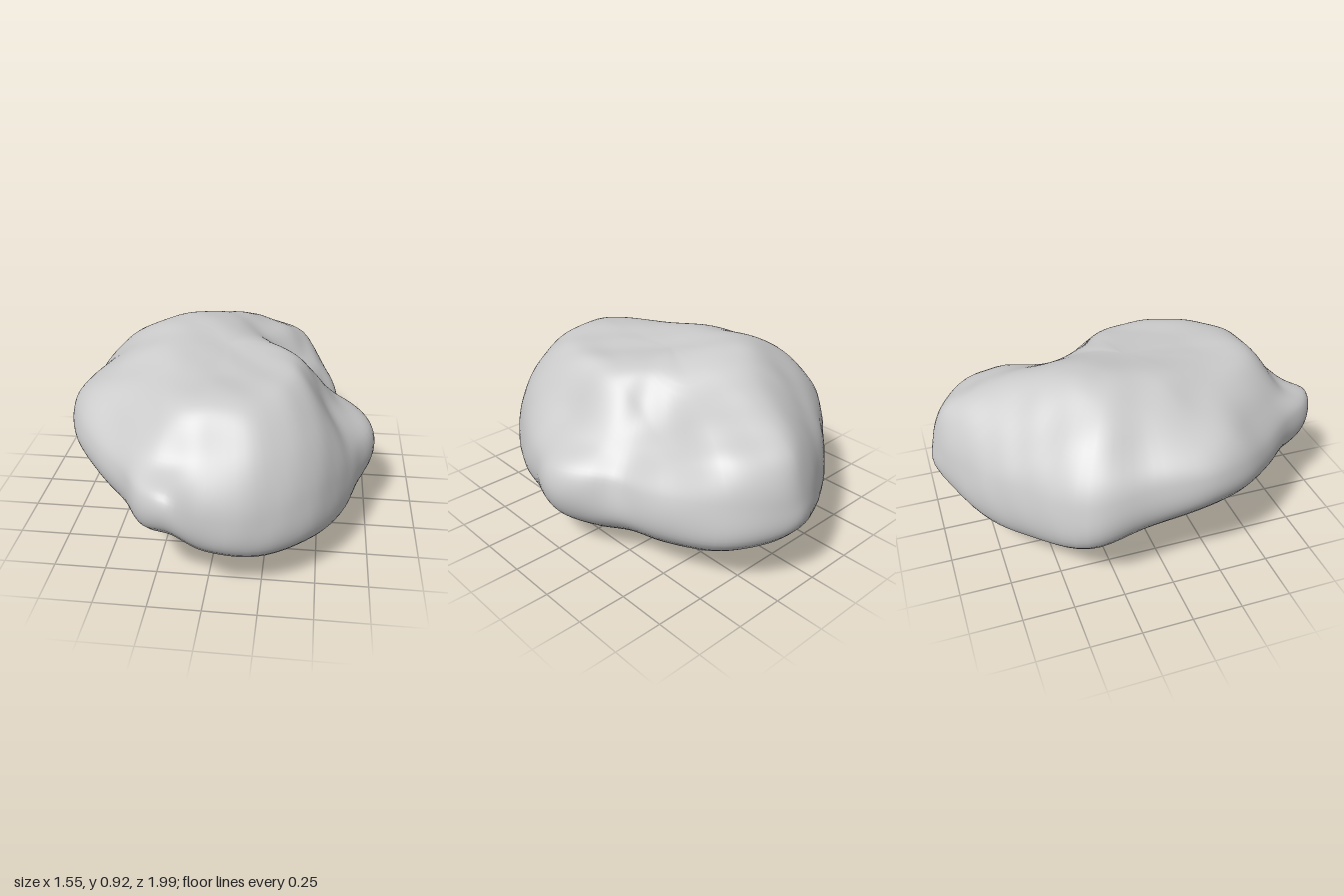
import * as THREE from 'three';

// Waist outline, running from +x towards +z: x, z, lower and upper edge of the side wall
const waist = [
  [0.74, 0, 0.23, 0.45], [0.69, 0.22, 0.22, 0.43], [0.62, 0.46, 0.2, 0.42], [0.48, 0.70, 0.22, 0.45],
  [0.25, 0.88, 0.23, 0.42], [0.0, 0.97, 0.31, 0.48], [-0.15, 0.995, 0.41, 0.56], [-0.28, 0.93, 0.38, 0.55],
  [-0.40, 0.76, 0.36, 0.55], [-0.57, 0.56, 0.42, 0.57], [-0.71, 0.36, 0.46, 0.6], [-0.77, 0.16, 0.47, 0.61],
  [-0.735, -0.12, 0.39, 0.58], [-0.715, -0.41, 0.31, 0.53], [-0.46, -0.65, 0.24, 0.52], [-0.24, -0.82, 0.23, 0.5],
  [0.1, -0.995, 0.33, 0.47], [0.25, -0.96, 0.31, 0.48], [0.43, -0.82, 0.28, 0.5], [0.55, -0.56, 0.26, 0.47],
  [0.61, -0.34, 0.25, 0.44], [0.70, -0.16, 0.24, 0.46],
];
// Shoulders in the same directions: top inset, top height, bottom inset, bottom height
const shoulders = [
  [0.5, 0.81, 0.65, 0.05], [0.54, 0.83, 0.65, 0.05], [0.6, 0.84, 0.68, 0.04], [0.65, 0.84, 0.65, 0.06],
  [0.69, 0.83, 0.6, 0.08], [0.66, 0.84, 0.55, 0.08], [0.64, 0.83, 0.5, 0.08], [0.64, 0.82, 0.5, 0.09],
  [0.65, 0.82, 0.5, 0.09], [0.62, 0.82, 0.5, 0.1], [0.62, 0.81, 0.5, 0.11], [0.62, 0.82, 0.5, 0.11],
  [0.62, 0.84, 0.52, 0.11], [0.6, 0.86, 0.52, 0.1], [0.55, 0.88, 0.53, 0.06], [0.58, 0.86, 0.57, 0.06],
  [0.7, 0.79, 0.57, 0.06], [0.75, 0.75, 0.55, 0.06], [0.78, 0.72, 0.55, 0.06], [0.68, 0.66, 0.6, 0.05],
  [0.58, 0.71, 0.62, 0.05], [0.52, 0.78, 0.65, 0.05],
];
// Brow between top shoulder and wall: inset, height
const brows = [
  [0.75, 0.59], [0.76, 0.63], [0.84, 0.66], [0.86, 0.68], [0.86, 0.68], [0.82, 0.66], [0.81, 0.64], [0.84, 0.64],
  [0.86, 0.67], [0.84, 0.7], [0.87, 0.71], [0.9, 0.69], [0.88, 0.7], [0.86, 0.7], [0.82, 0.72], [0.84, 0.69],
  [0.91, 0.67], [0.92, 0.65], [0.91, 0.64], [0.86, 0.58], [0.82, 0.55], [0.78, 0.57],
];

const v = (x, y, z) => new THREE.Vector3(x, y, z);
const ring = (f) => new THREE.CatmullRomCurve3(waist.map((w, i) => f(w, shoulders[i], brows[i])), true);
const bump = (x, y, z, p, r) => Math.exp(-((p.x - x) ** 2 + (p.y - y) ** 2 + (p.z - z) ** 2) / (r * r));

// Side knob, local hollows and a slight unevenness
function weather(p) {
  const flat = v(p.x, 0, p.z).normalize();
  const push = 0.035 * bump(0.72, 0.38, 0.02, p, 0.18)
    - 0.05 * bump(-0.3, 0.3, 0.7, p, 0.2)
    - 0.035 * bump(0.62, 0.43, -0.27, p, 0.12);
  // Crest at the back left, and the valley beside it that runs out to the right
  const lift = 0.025 * bump(-0.22, 0.9, -0.28, p, 0.22) - 0.1 * bump(0.2, 0.8, -0.32, p, 0.19);
  const rough = 0.004 * Math.sin(9 * p.x + 5 * p.y) * Math.sin(8 * p.z - 7 * p.y + 1)
    + 0.002 * Math.sin(21 * p.x - 13 * p.z) * Math.sin(17 * p.y + 11 * p.z);
  p.addScaledVector(flat, push + rough);
  p.y = Math.max(0, p.y + rough + lift);
  return p;
}

function rockGeometry(around = 120, down = 70) {
  // Closed rings from the crown to the underside
  const rings = [
    ring(([x, z]) => v(x * 0.35, 0.88 - 0.02 * x - 0.02 * z, z * 0.35)),
    ring(([x, z], [t, ty]) => v(x * t, ty, z * t)),
    ring(([x, z], s, [t, ty]) => v(x * t, ty, z * t)),
    ring(([x, z, , hi]) => v(x * 0.985, hi, z * 0.985)),
    ring(([x, z, lo]) => v(x * 0.985, lo, z * 0.985)),
    ring(([x, z], [, , b, by]) => v(x * b, by, z * b)),
    ring(([x, z]) => v(x * 0.25, 0.01, z * 0.25)),
  ];
  const crown = v(0, 0.88, 0), base = v(0, 0, 0);
  const positions = [], index = [];
  for (let i = 0; i < around; i++) {
    const profile = new THREE.CatmullRomCurve3([crown, ...rings.map((r) => r.getPoint(i / around)), base]);
    for (let j = 0; j <= down; j++) positions.push(...weather(profile.getPoint(j / down)).toArray());
  }
  // Columns share one vertex at each pole
  const at = (i, j) => (j === 0 || j === down ? j : (i % around) * (down + 1) + j);
  for (let i = 0; i < around; i++) {
    for (let j = 0; j < down; j++) {
      const a = at(i, j), b = at(i + 1, j), c = at(i, j + 1), d = at(i + 1, j + 1);
      if (j > 0) index.push(a, b, c);
      if (j < down - 1) index.push(b, d, c);
    }
  }
  const geometry = new THREE.BufferGeometry();
  geometry.setAttribute('position', new THREE.Float32BufferAttribute(positions, 3));
  geometry.setIndex(index);
  geometry.computeVertexNormals();
  return geometry;
}

export function createModel() {
  const group = new THREE.Group();
  group.name = 'boulder';
  const rock = new THREE.Mesh(rockGeometry(), new THREE.MeshStandardMaterial({ color: 0xcccccc }));
  rock.name = 'rock';
  group.add(rock);
  return group;
}
